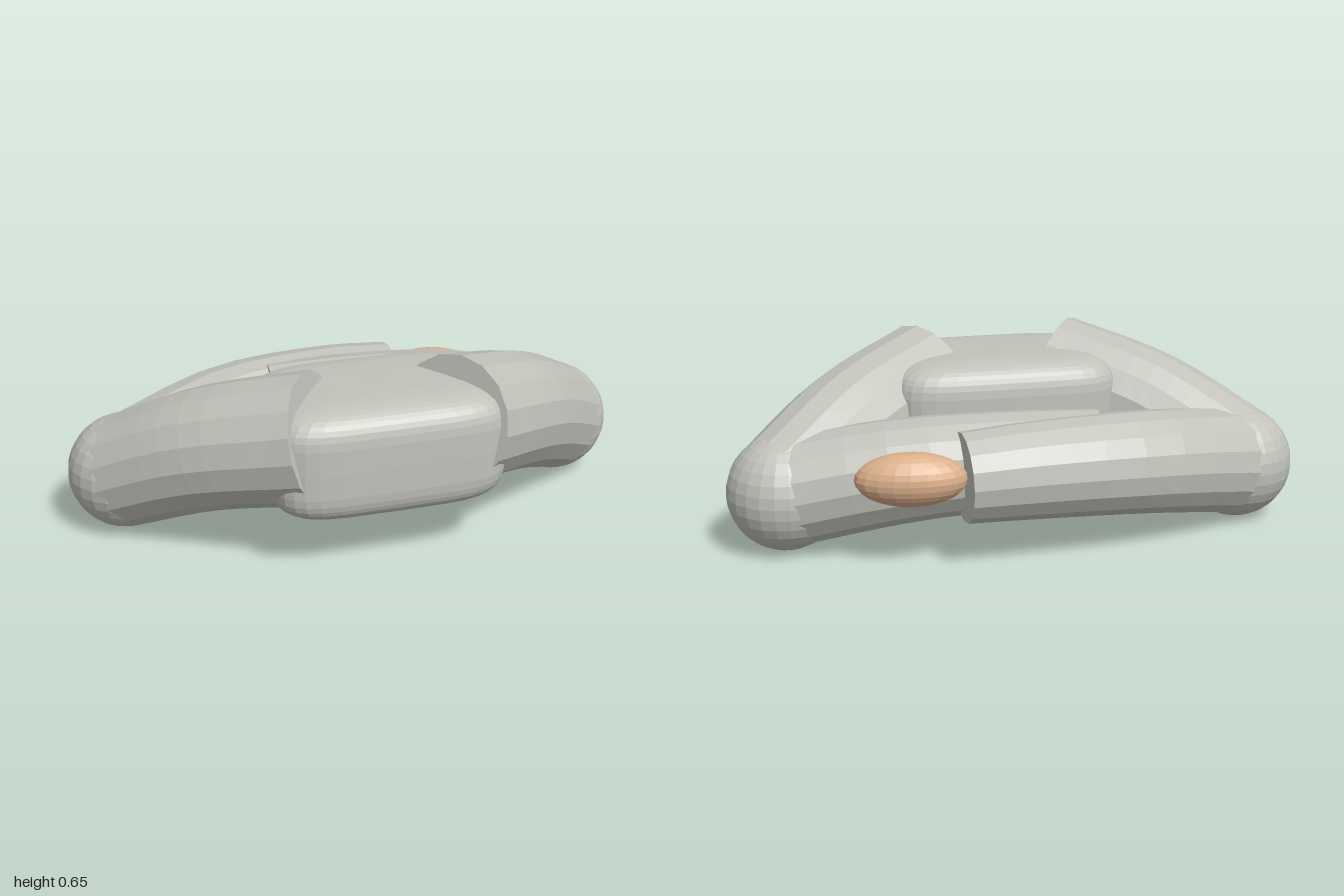
import * as THREE from 'three';

const grey = new THREE.MeshStandardMaterial({ color: 0xc2c2bb, flatShading: true });
grey.name = 'warm grey cloth';
const tan = new THREE.MeshStandardMaterial({ color: 0xdbaf8b, flatShading: true });
tan.name = 'tan skin';

// Capped, tapering 16-sided limb swept along a smooth path
function limb(name, points, r0, r1) {
  const curve = new THREE.CatmullRomCurve3(points.map(p => new THREE.Vector3(...p)));
  const geo = new THREE.CylinderGeometry(r1, r0, 1, 16, 10);
  const pos = geo.attributes.position;
  const up = new THREE.Vector3(0, 1, 0);
  for (let i = 0; i < pos.count; i++) {
    const t = THREE.MathUtils.clamp(pos.getY(i) + 0.5, 0, 1);
    const tangent = curve.getTangent(t);
    const side = tangent.clone().cross(up).normalize();
    const third = side.clone().cross(tangent);
    const p = curve.getPoint(t)
      .addScaledVector(side, pos.getX(i))
      .addScaledVector(third, pos.getZ(i));
    pos.setXYZ(i, p.x, p.y, p.z);
  }
  geo.computeVertexNormals();
  const mesh = new THREE.Mesh(geo, grey);
  mesh.name = name;
  return mesh;
}

// Sphere squared off into a soft cushion shape
function cushion(a, b, c, e) {
  const geo = new THREE.SphereGeometry(1, 32, 24);
  const pos = geo.attributes.position;
  const pw = v => Math.sign(v) * Math.pow(Math.abs(v), e);
  for (let i = 0; i < pos.count; i++) {
    const y = THREE.MathUtils.clamp(pos.getY(i), -1, 1);
    const ring = Math.sqrt(1 - y * y);
    const k = ring > 1e-5 ? 1 / ring : 0;
    const w = ring > 1e-5 ? pw(ring) : 0;
    pos.setXYZ(i, a * w * pw(pos.getX(i) * k), b * pw(y), c * w * pw(pos.getZ(i) * k));
  }
  geo.computeVertexNormals();
  return geo;
}

export function createModel() {
  const model = new THREE.Group();
  model.name = 'crossedLegs';

  const pelvis = new THREE.Mesh(cushion(0.41, 0.2, 0.29, 0.42), grey);
  pelvis.name = 'pelvis';
  pelvis.position.set(0, 0.38, 0.23);
  model.add(pelvis);

  // The two shins cross: one passes outside the other
  const legs = [
    { side: 'left', s: 1, shin: [[0.8, 0.2, -0.11], [0.4, 0.28, -0.21], [0, 0.305, -0.25], [-0.25, 0.31, -0.26]],
      foot: [-0.4, 0.31, -0.28] },
    { side: 'right', s: -1, shin: [[-0.8, 0.2, -0.11], [-0.4, 0.28, -0.295], [0, 0.3, -0.36], [0.24, 0.295, -0.376]],
      foot: [0.415, 0.31, -0.4] },
  ];
  for (const { side, s, shin, foot } of legs) {
    model.add(limb(side + 'Thigh', [[s * 0.235, 0.435, 0.325], [s * 0.54, 0.345, 0.11], [s * 0.8, 0.2, -0.11]], 0.225, 0.2));

    const knee = new THREE.Mesh(new THREE.SphereGeometry(0.2, 24, 16), grey);
    knee.name = side + 'Knee';
    knee.position.set(s * 0.8, 0.2, -0.11);
    model.add(knee);

    model.add(limb(side + 'Shin', shin, 0.19, 0.152));

    const footMesh = new THREE.Mesh(new THREE.SphereGeometry(1, 20, 14), tan);
    footMesh.name = side + 'Foot';
    footMesh.scale.set(0.185, 0.09, 0.088);
    footMesh.position.set(...foot);
    footMesh.rotation.y = s * 0.15;
    model.add(footMesh);
  }
  return model;
}
